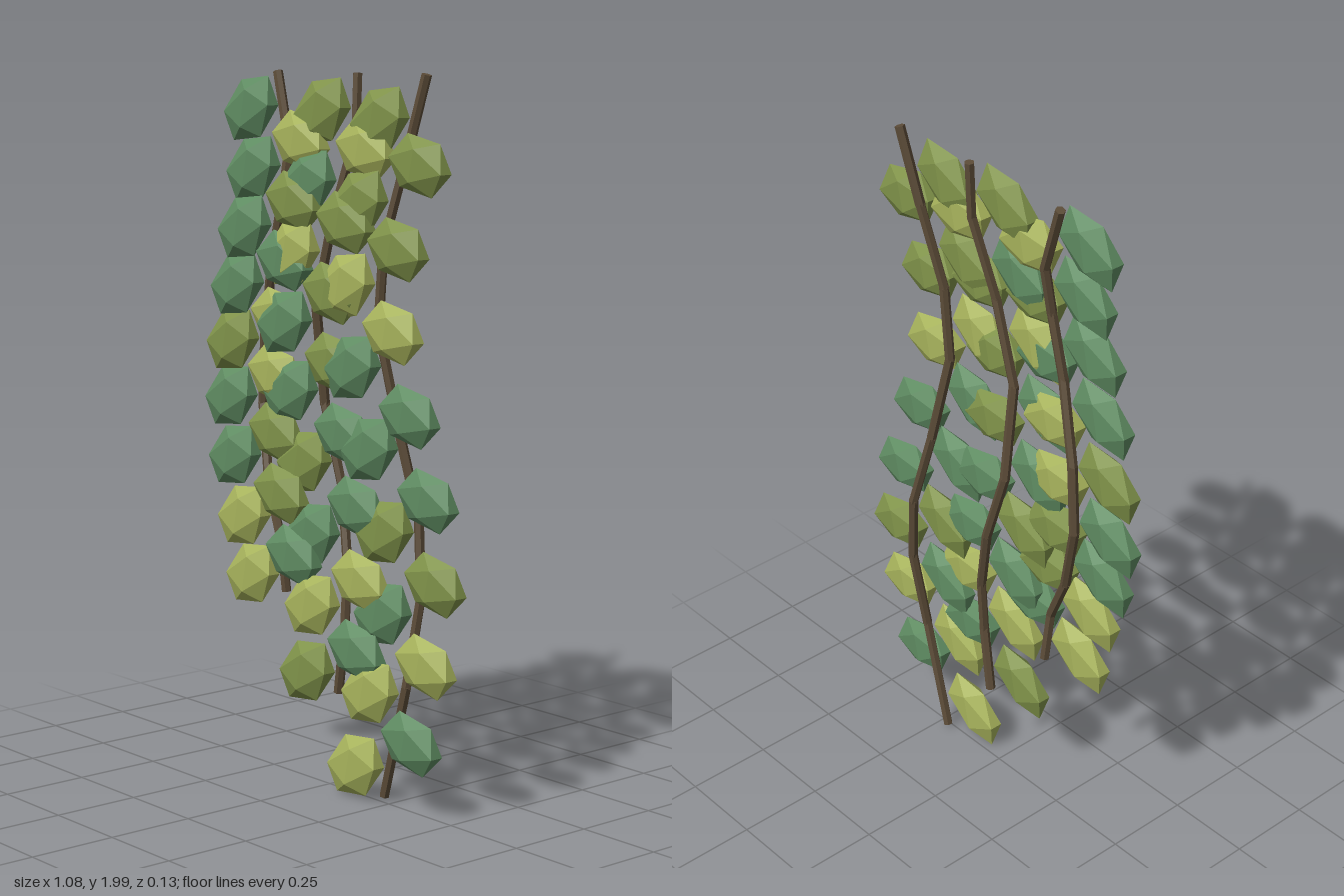
import * as THREE from 'three';

const stemMat = new THREE.MeshStandardMaterial({ color: 0x5c4c38, flatShading: true });
const leafMats = {
  D: new THREE.MeshStandardMaterial({ color: 0x5f8c62, flatShading: true }), // deep green
  O: new THREE.MeshStandardMaterial({ color: 0x80934a, flatShading: true }), // olive
  Y: new THREE.MeshStandardMaterial({ color: 0xa7b35c, flatShading: true }), // lime
};

// Flattened faceted leaf; u and v are its slanted in-plane axes
function leafGeometry(u, v) {
  const m = new THREE.Matrix4().set(
    u[0], v[0], 0, 0,
    u[1], v[1], 0, 0,
    0, 0, 0.038, 0,
    0, 0, 0, 1);
  const g = new THREE.IcosahedronGeometry(1, 0).applyMatrix4(m);
  g.computeVertexNormals();
  return g;
}
const leftLeaf = leafGeometry([0.115, 0.012], [0.021, 0.1]);
const rightLeaf = leafGeometry([0.119, -0.024], [0.0185, 0.083]);

// Stem paths as x, y pairs from top to bottom, leaf colours on each side,
// and the height of the first leaf with the spacing below it
const vines = [
  { name: 'shortVine', path: [-0.285, 1.99, -0.21, 1.79, -0.215, 1.65, -0.26, 1.47, -0.335, 1.25, -0.355, 1.05, -0.29, 0.83, -0.22, 0.68, -0.21, 0.53],
    left: 'DDDDODDYY', right: 'YODYYOOD', first: 1.89, step: 0.165 },
  { name: 'middleVine', path: [0.055, 1.99, 0.06, 1.83, 0, 1.6, -0.07, 1.36, -0.075, 1.08, 0, 0.85, 0.055, 0.64, 0.06, 0.47, 0.02, 0.28],
    left: 'ODYDDODYO', right: 'YOOODDYD', first: 1.89, step: 0.195 },
  { name: 'longVine', path: [0.33, 1.99, 0.27, 1.78, 0.21, 1.54, 0.195, 1.32, 0.245, 1.05, 0.31, 0.81, 0.335, 0.6, 0.31, 0.35, 0.215, 0.025],
    left: 'OOYDDODYY', right: 'OOYDDOYD', first: 1.87, step: 0.221 },
];

// Six-sided straight piece of stem between two points
function stemPiece(a, b) {
  const dir = b.clone().sub(a);
  const mesh = new THREE.Mesh(new THREE.CylinderGeometry(0.014, 0.014, dir.length() + 0.006, 6), stemMat);
  mesh.position.copy(a).add(b).multiplyScalar(0.5);
  mesh.quaternion.setFromUnitVectors(new THREE.Vector3(0, 1, 0), dir.normalize());
  mesh.name = 'stemPiece';
  return mesh;
}

function makeVine({ name, path, left, right, first, step }) {
  const vine = new THREE.Group();
  vine.name = name;
  const top = path[1], length = top - path[path.length - 1];

  // Stem points sway gently in depth down the vine
  const pts = [];
  for (let i = 0; i < path.length; i += 2) {
    const t = (top - path[i + 1]) / length;
    const z = -0.027 - 0.024 * Math.cos((2 * Math.PI * t) / 0.6);
    pts.push(new THREE.Vector3(path[i], path[i + 1], z));
  }
  for (let i = 0; i < pts.length - 1; i++) vine.add(stemPiece(pts[i], pts[i + 1]));

  // Stem point at a given height
  const at = (y) => {
    let i = 0;
    while (i < pts.length - 2 && pts[i + 1].y > y) i++;
    return pts[i].clone().lerp(pts[i + 1], (pts[i].y - y) / (pts[i].y - pts[i + 1].y));
  };

  // Leaves alternate between the two sides
  const addLeaves = (colours, geo, dx, start, label) => {
    [...colours].forEach((c, i) => {
      const leaf = new THREE.Mesh(geo, leafMats[c]);
      leaf.position.copy(at(start - i * step)).add(new THREE.Vector3(dx, 0, 0.04));
      leaf.name = label;
      vine.add(leaf);
    });
  };
  addLeaves(left, leftLeaf, -0.097, first, 'outerLeaf');
  addLeaves(right, rightLeaf, 0.102, first - step / 2, 'innerLeaf');
  return vine;
}

export function createModel() {
  const model = new THREE.Group();
  model.name = 'hangingVines';
  vines.forEach((v) => model.add(makeVine(v)));
  return model;
}
